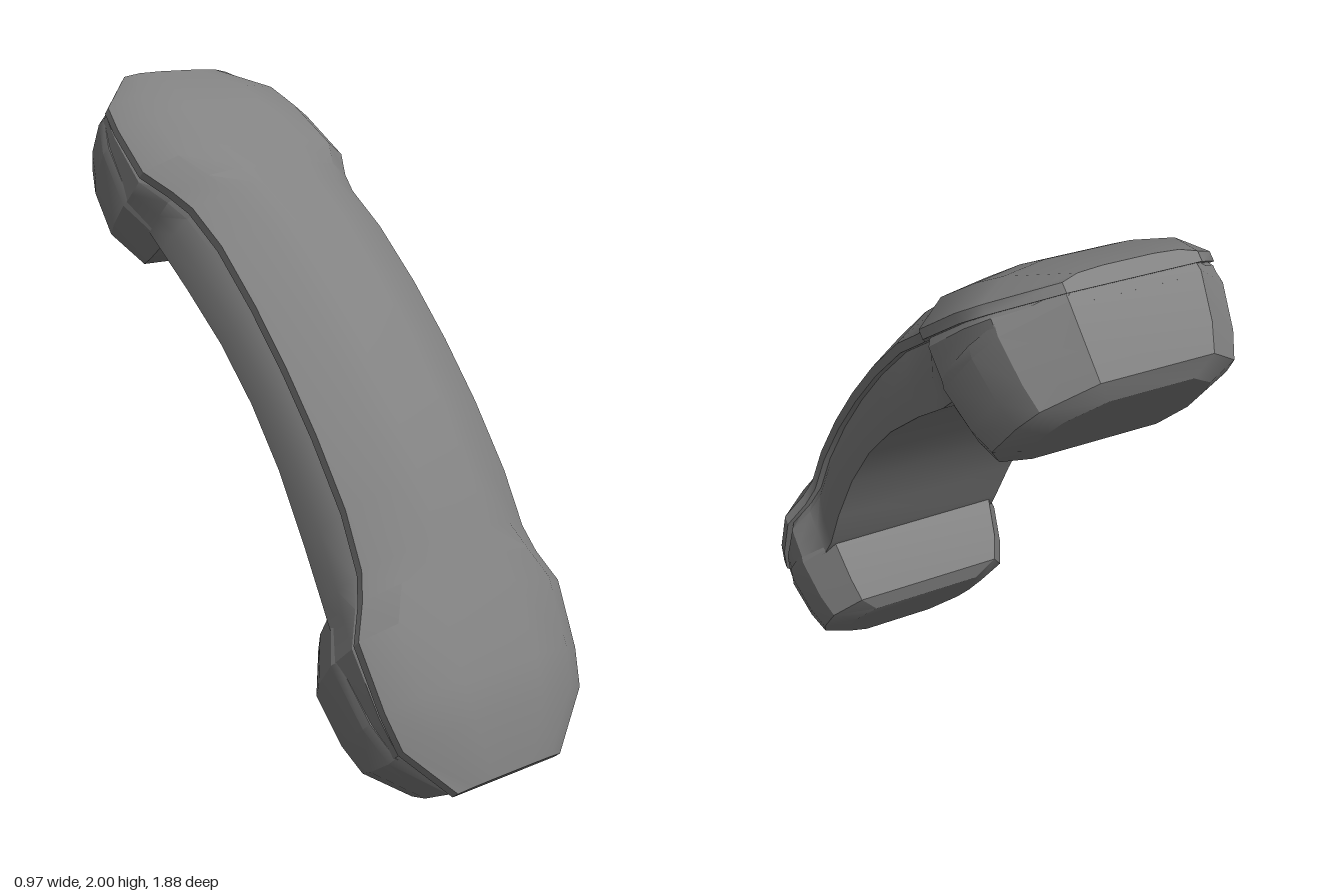
import * as THREE from 'three';
import { toCreasedNormals } from 'three/addons/utils/BufferGeometryUtils.js';

// Half of the length: [distance, top height, half width, edge drop, flat half width, underside height, underside flare]
const HALF = [
  [0, 1.145, 0.305, 0.1, 0.18, 0.842, 0.028],
  [0.22, 1.138, 0.305, 0.1, 0.18, 0.828, 0.028],
  [0.45, 1.113, 0.305, 0.1, 0.18, 0.785, 0.028],
  [0.62, 1.068, 0.31, 0.1, 0.2, 0.742, 0.02],
  [0.7, 1.044, 0.335, 0.1, 0.24, 0.73, 0],
  [0.8, 1.017, 0.386, 0.1, 0.29, 0.73, 0],
  [1.0, 0.957, 0.37, 0.09, 0.28, 0.73, 0],
  [1.11, 0.914, 0.345, 0.08, 0.26, 0.73, 0],
  [1.265, 0.807, 0.2, 0.02, 0.15, 0.73, 0],
];
const STATIONS = [
  ...HALF.slice(1).reverse().map(([t, ...rest]) => [-t, ...rest]),
  ...HALF,
];
const LIP = 0.03;
const MID = 0.85;

// Skins closed rings of points; each ring runs counter-clockwise seen from the start
function loft(rings, crease) {
  const n = rings[0].length;
  const index = [];
  for (let i = 0; i < rings.length - 1; i++) {
    for (let j = 0; j < n; j++) {
      const k = (j + 1) % n;
      const a = i * n + j, b = i * n + k, c = b + n, d = a + n;
      index.push(a, d, c, a, c, b);
    }
  }
  const last = (rings.length - 1) * n;
  for (let j = 1; j < n - 1; j++) {
    index.push(0, j, j + 1, last, last + j + 1, last + j);
  }
  const geometry = new THREE.BufferGeometry();
  geometry.setAttribute('position', new THREE.Float32BufferAttribute(rings.flat(2), 3));
  geometry.setIndex(index);
  return toCreasedNormals(geometry, crease);
}

// Mirrors the right half of a cross-section, listed from bottom to top
function section(t, half) {
  const left = half.map(([x, h]) => [-x, h]).reverse();
  return [...half, ...left].map(([x, h]) => [x, h - MID, -t]);
}

// Outer shell, crowned across its width, with a thin lip
function coverGeometry() {
  return loft(STATIONS.map(([t, top, w, drop, flat]) => section(t, [
    [w - 0.02, top - drop - LIP],
    [w, top - drop - LIP],
    [w, top - drop],
    [flat, top - drop * 0.25],
    [flat * 0.5, top],
  ])), 0.55);
}

// Inner body: a groove below the lip, then sides that widen along the handle
function bodyGeometry() {
  return loft(STATIONS.map(([t, top, w, drop, , under, flare]) => {
    const seam = top - drop - LIP;
    const end = Math.sign(t) * (Math.abs(t) > 1.2 ? 0.015 : 0);
    return section(t - end, [
      [w - 0.008 + flare, under],
      [w - 0.008 + flare * 0.8, under + (seam - under) * 0.45],
      [w - 0.008, under + (seam - under) * 0.85],
      [w - 0.03, seam + 0.015],
    ]);
  }), 0.5);
}

// Ear and mouth cup: faceted outline shrinking towards a flat face
function cupGeometry() {
  const right = [[0.3, 0.645], [0.382, 0.8], [0.372, 1.0], [0.34, 1.115], [0.195, 1.252]];
  const outline = [...right, ...right.map(([x, t]) => [-x, t]).reverse()];
  const centre = 0.95;
  // [height, width scale, length scale]
  const levels = [
    [0.775, 0.985, 0.985],
    [0.74, 1, 1],
    [0.61, 0.94, 0.91],
    [0.535, 0.87, 0.82],
    [0.503, 0.66, 0.6],
  ];
  return loft(levels.map(([h, kx, kt]) => outline.map(([x, t]) => [
    x * kx, h - MID, -(centre + (t - centre) * kt),
  ])), 0.35);
}

export function createModel() {
  const grey = new THREE.MeshStandardMaterial({ color: 0x828282 });
  grey.name = 'grey plastic';

  const handset = new THREE.Group();
  handset.name = 'handset';
  const add = (name, geometry) => {
    const mesh = new THREE.Mesh(geometry, grey);
    mesh.name = name;
    handset.add(mesh);
    return mesh;
  };

  add('outerCover', coverGeometry());
  add('handleBody', bodyGeometry());
  const cup = cupGeometry();
  add('earpieceCup', cup);
  add('mouthpieceCup', cup).rotation.y = Math.PI;

  // Lean the handset back, turn it slightly and stand it on the ground
  handset.rotation.set(0.831, -0.165, 0, 'YXZ');
  handset.position.set(-0.008, 1.097, 0.103);

  const model = new THREE.Group();
  model.name = 'telephoneHandset';
  model.add(handset);
  return model;
}
